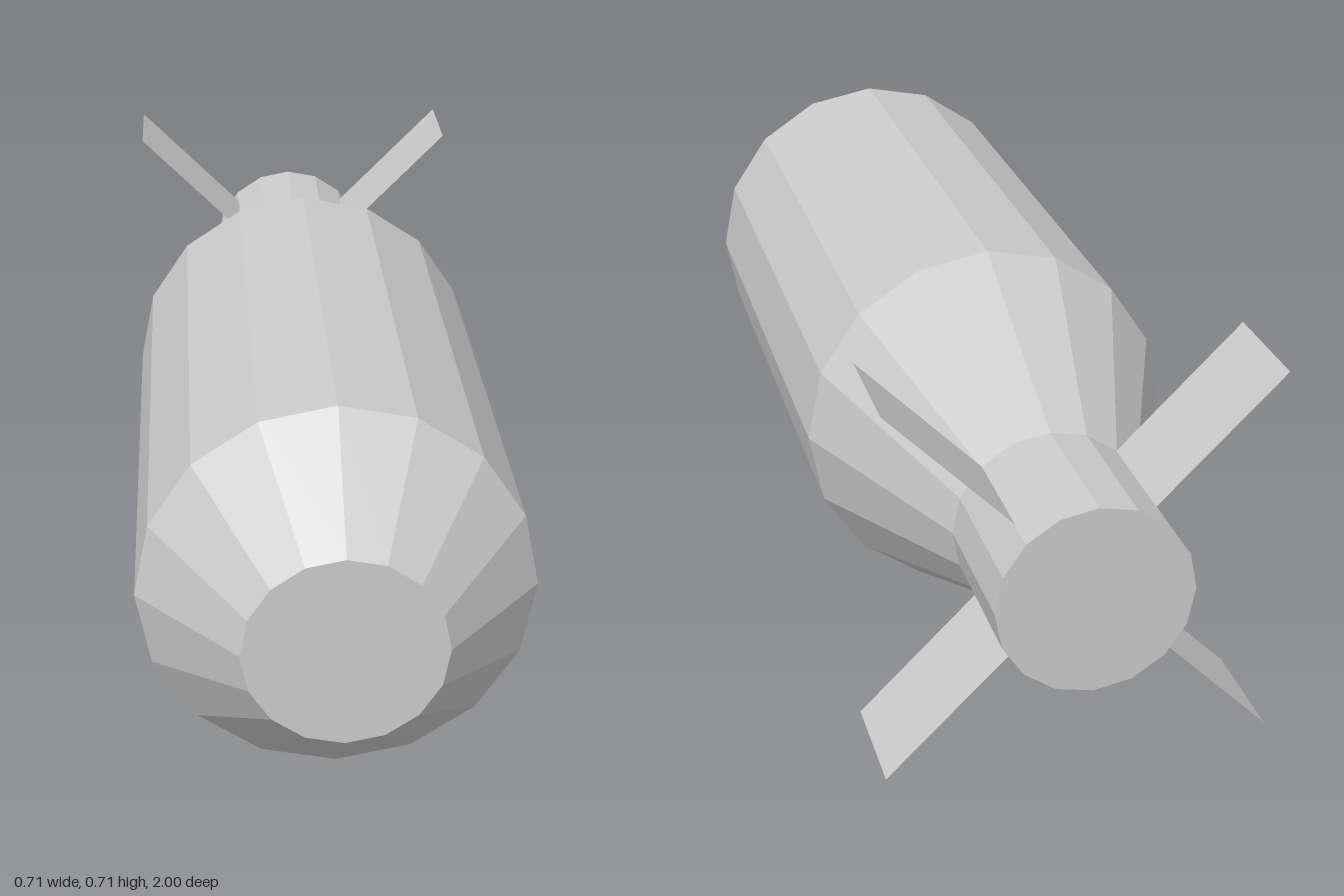
import * as THREE from 'three';

const RADIUS = 0.357;      // widest part of the body
const TAIL_RADIUS = 0.178; // flat nose and tail tube

export function createModel() {
  const group = new THREE.Group();
  const grey = new THREE.MeshStandardMaterial({ color: 0xcccccc, flatShading: true });
  const sheet = new THREE.MeshStandardMaterial({ color: 0xcccccc, flatShading: true, side: THREE.DoubleSide });

  // Body: 16-sided profile turned around z, listed from tail to nose
  const profile = [
    [0, -1], [TAIL_RADIUS, -1], [TAIL_RADIUS, -0.715],
    [RADIUS, -0.285], [RADIUS, 0.785], [TAIL_RADIUS, 1], [0, 1],
  ].map(([r, z]) => new THREE.Vector2(r, z));
  const body = new THREE.Mesh(new THREE.LatheGeometry(profile, 16).rotateX(Math.PI / 2), grey);
  body.name = 'body';
  body.position.y = RADIUS;
  group.add(body);

  // Tail fins: two thin sheets crossing diagonally through the tail tube
  for (const side of [1, -1]) {
    const fins = new THREE.Mesh(new THREE.PlaneGeometry(0.996, 0.215).rotateX(-Math.PI / 2), sheet);
    fins.name = side > 0 ? 'tailFinsRising' : 'tailFinsFalling';
    fins.position.set(0, RADIUS + 0.002, -0.823);
    fins.rotation.z = side * Math.PI / 4;
    group.add(fins);
  }
  return group;
}
